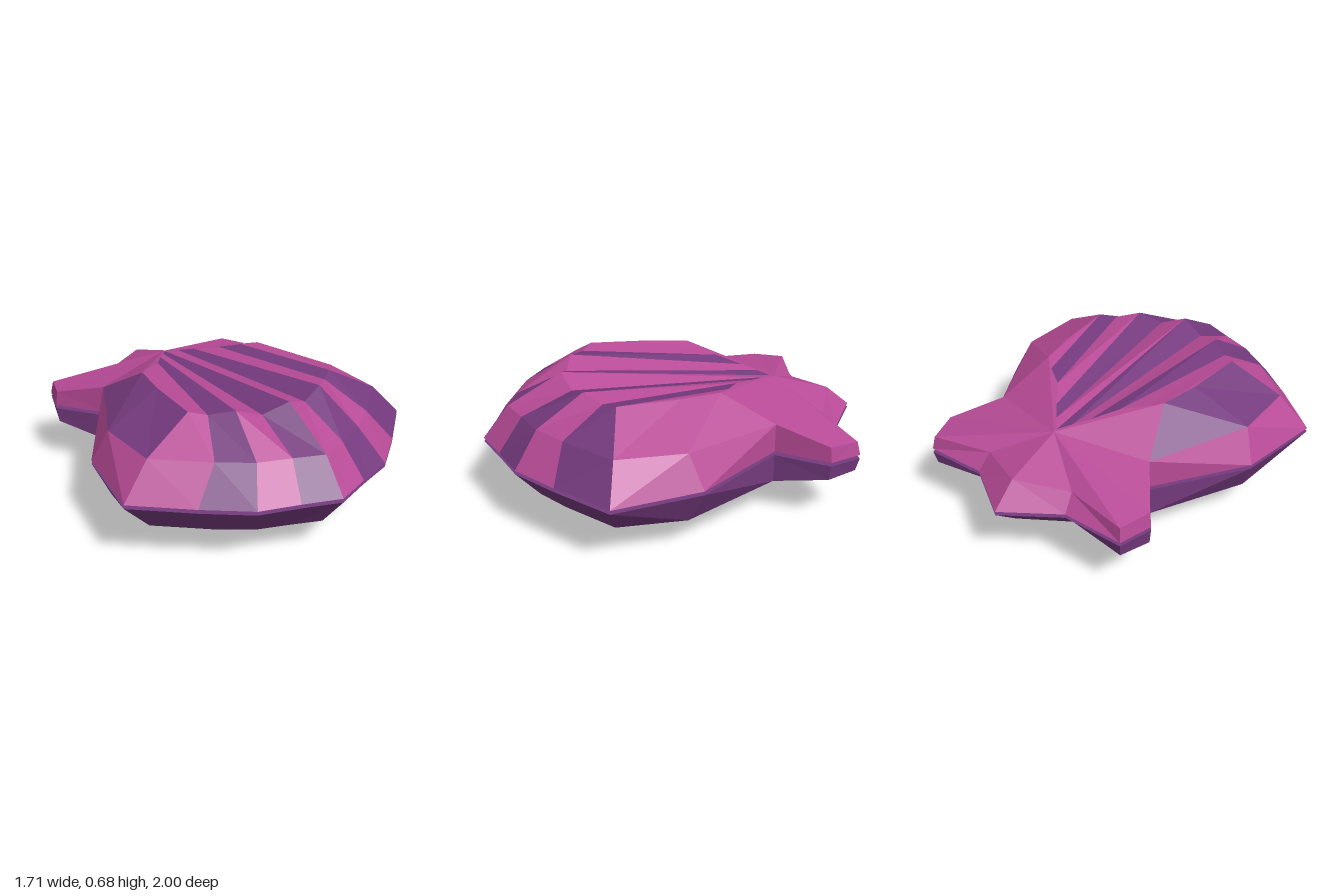
import * as THREE from 'three';

const material = (name, color) => {
  const m = new THREE.MeshStandardMaterial({ color });
  m.name = name;
  return m;
};

// Half outlines from the front tip round the +x side to the hinge tip
const RIM = [[0, 1], [.19, .93], [.39, .865], [.6, .7], [.855, .475], [.78, .02],
  [.47, -.42], [.645, -.655], [.595, -.825], [.275, -.82], [0, -1]];
const MID = [[0, .52, .865], [.15, .52, .805], [.31, .52, .745], [.465, .52, .635], [.7, .52, .43],
  [.71, .52, .08], [.468, .5, -.42], [.635, .43, -.65], [.585, .42, -.81], [.26, .43, -.75], [0, .46, -.87]];
const CROWN = [[0, .68, .585], [.13, .63, .545], [.255, .67, .505], [.36, .645, .425],
  [.435, .66, .37], [.41, .657, .05], [.37, .655, -.16]];
// Ribs run out on the sloping plane of the hinge
const RIB_ENDS = [[0, -.54], [.05, -.48], [.11, -.41], [.2, -.29], [.3, -.22]]
  .map(([x, z]) => [x, .655 + .25 * (z + .16), z]);
const APEX = [0, .555, -.56];
const HUB = [0, .66, -.17];
const SHOULDER = CROWN[6];

// Collects flat triangles, one list for each material
class Faces {
  constructor() { this.lists = new Map(); }
  tri(mat, flip, a, b, c) {
    if (flip) [b, c] = [c, b];
    const [A, B, C] = [a, b, c].map(p => new THREE.Vector3(...p));
    if (B.clone().sub(A).cross(C.clone().sub(A)).length() < 1e-6) return;
    if (!this.lists.has(mat)) this.lists.set(mat, []);
    this.lists.get(mat).push(...a, ...b, ...c);
  }
  quad(mat, flip, a, b, c, d) {
    this.tri(mat, flip, a, b, c);
    this.tri(mat, flip, a, c, d);
  }
  group(name) {
    const g = new THREE.Group();
    g.name = name;
    for (const [mat, list] of this.lists) {
      const geo = new THREE.BufferGeometry();
      geo.setAttribute('position', new THREE.Float32BufferAttribute(list, 3));
      geo.computeVertexNormals();
      const mesh = new THREE.Mesh(geo, mat);
      mesh.name = `${name} ${mat.name}`;
      g.add(mesh);
    }
    return g;
  }
}

// Lofts both halves of a shell; the lower one is turned upside down and has no ribs
function buildShell(name, lower, colourOf) {
  const faces = new Faces();
  const rim = RIM.map(([x, z]) => [x, .35, z]);
  const crown = CROWN.map(([x, y, z]) => [x, lower ? .68 - .02 * x / .435 : y, z]);
  const ends = RIB_ENDS.map(p => (lower ? HUB : p)).concat([crown[6], crown[6]]);
  const pad = row => [...row, ...Array(RIM.length - row.length).fill(APEX)];
  const centre = RIM.map(() => [0, .35, -.42]);
  const rows = [centre, rim, MID, pad(crown), pad(ends), pad([])];
  for (const side of [1, -1]) {
    const place = ([x, y, z]) => [x * side, lower ? .68 - y : y, z];
    const flip = (side < 0) !== lower;
    for (let r = 0; r < rows.length - 1; r++) {
      for (let k = 0; k < RIM.length - 1; k++) {
        const corners = [rows[r][k], rows[r][k + 1], rows[r + 1][k + 1], rows[r + 1][k]].map(place);
        faces.quad(colourOf(r, k, side), flip, ...corners);
      }
    }
  }
  return faces.group(name);
}

export function createModel() {
  const pink = material('shell pink', 0xb84b97);
  const purple = material('stripe purple', 0x753a7e);
  const dark = material('underside dark', 0x352d40);
  const coral = material('flesh coral', 0xdc6472);

  const model = new THREE.Group();
  model.name = 'clam';

  // Striped upper shell: alternate ribs, with one purple flank
  model.add(buildShell('upper shell', false, (r, k, side) => {
    if (r === 0) return purple;
    if (k < 4 && r < 4) return (k % 2 === 1) === (side > 0) ? purple : pink;
    if (r === 2 && side < 0 && (k === 4 || k === 5)) return purple;
    return pink;
  }));

  // Lower shell: purple rim band over a dark belly
  model.add(buildShell('lower shell', true, r => (r < 2 ? purple : dark)));

  // Flesh between the shells
  const outline = [[.29, .47], [.35, .27], [.35, -.27], [.29, -.47],
    [-.29, -.47], [-.35, -.27], [-.35, .27], [-.29, .47]];
  const shape = new THREE.Shape(outline.map(([x, z]) => new THREE.Vector2(x, z)));
  const geo = new THREE.ExtrudeGeometry(shape, { depth: .04, bevelEnabled: false });
  geo.rotateX(-Math.PI / 2);
  const flesh = new THREE.Mesh(geo, coral);
  flesh.name = 'flesh';
  flesh.position.y = .32;
  model.add(flesh);

  return model;
}
